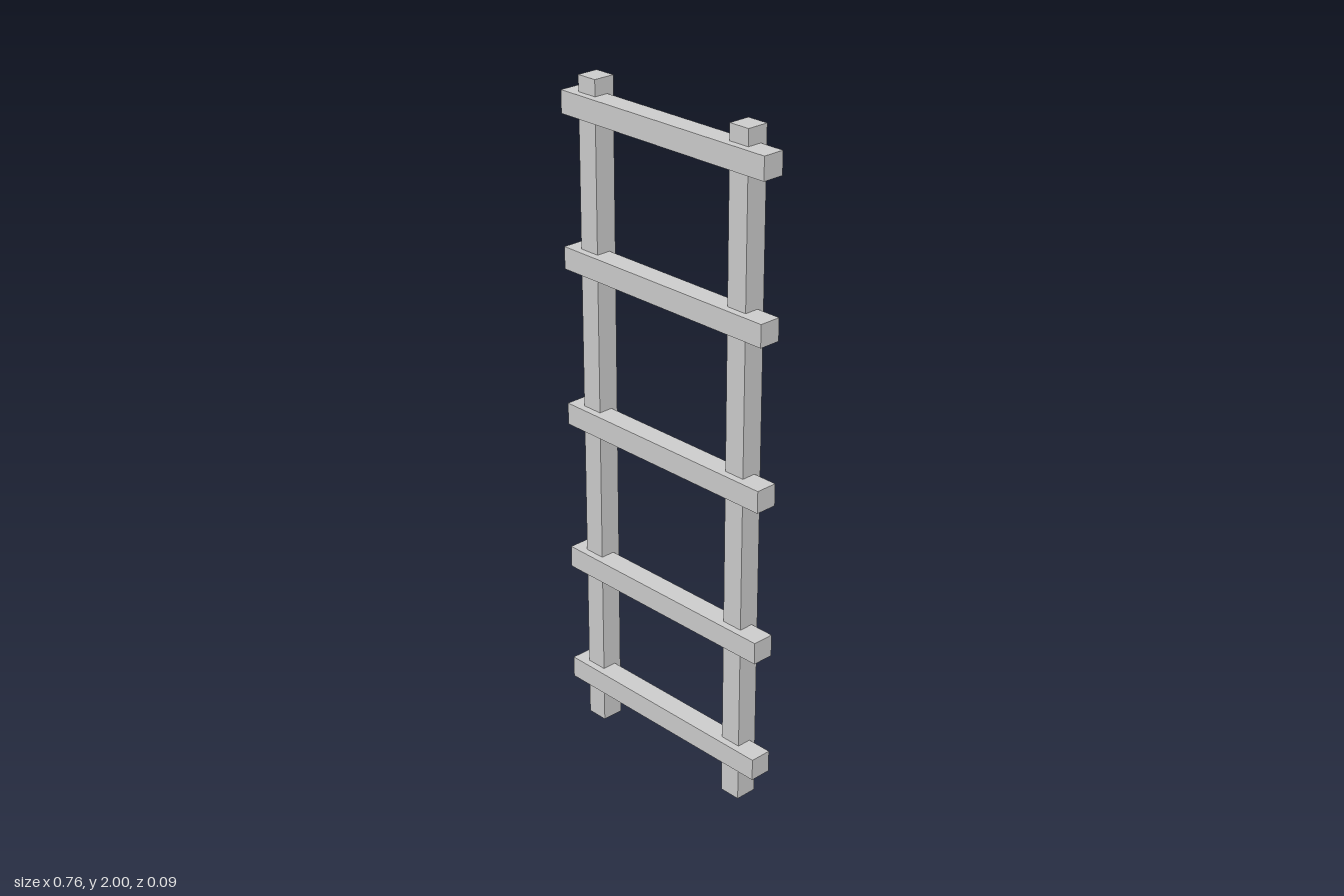
import * as THREE from 'three';

const BEAM = 0.066; // square timber thickness

export function createModel() {
  const ladder = new THREE.Group();
  ladder.name = 'ladder';
  const material = new THREE.MeshStandardMaterial({ color: 0xcccccc, flatShading: true });

  const addBeam = (name, width, height, x, y, z) => {
    const beam = new THREE.Mesh(new THREE.BoxGeometry(width, height, BEAM), material);
    beam.name = name;
    beam.position.set(x, y, z);
    ladder.add(beam);
  };

  // Upright rails, set slightly behind the rungs
  addBeam('rightRail', BEAM, 2, -0.3, 1, -0.011);
  addBeam('leftRail', BEAM, 2, 0.269, 1, -0.011);

  // Unevenly spaced rungs, half-lapped into the front of the rails
  [0.147, 0.529, 0.996, 1.473, 1.92].forEach((y, i) => {
    addBeam(`rung${i + 1}`, 0.758, BEAM, 0, y, 0.011);
  });

  return ladder;
}
